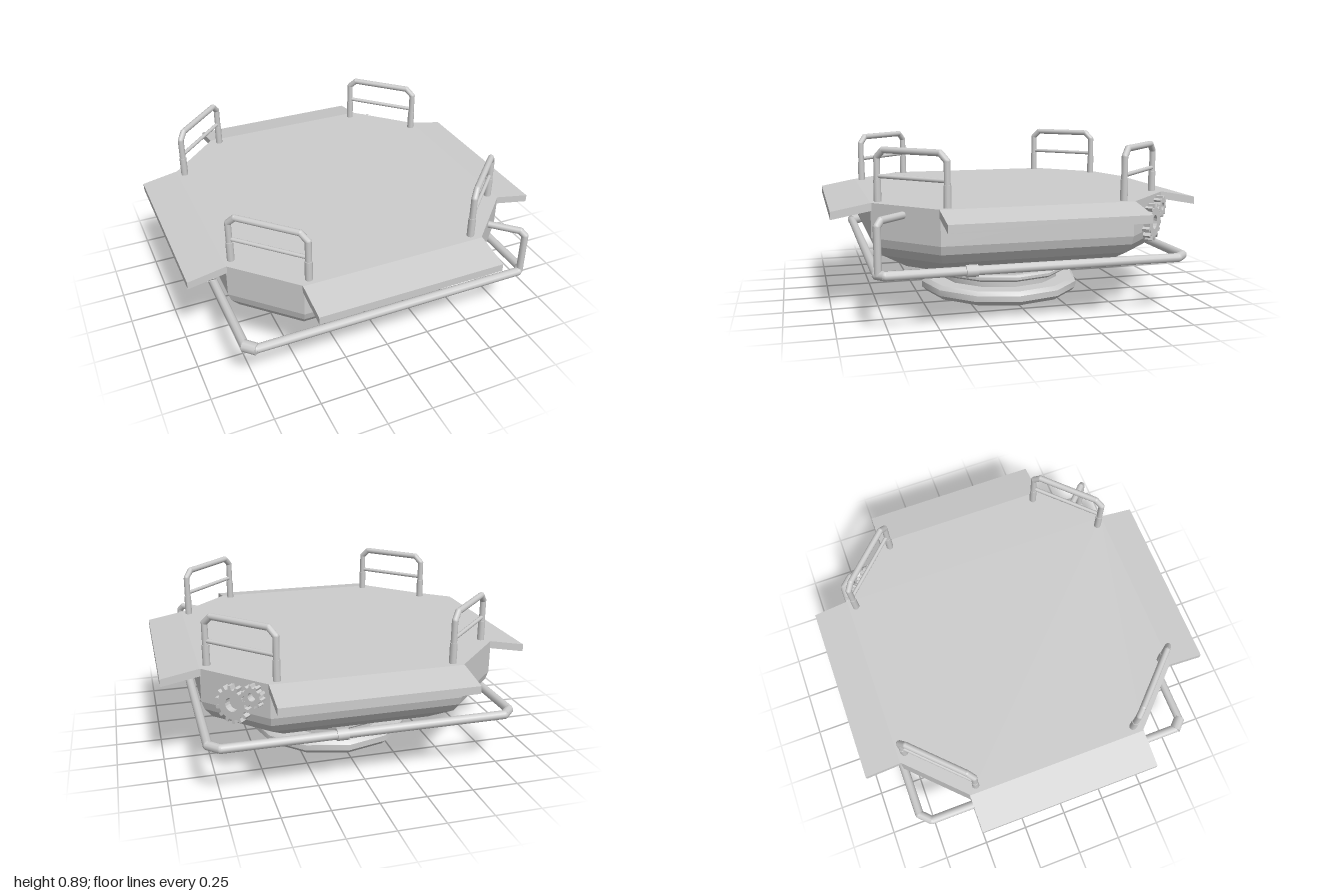
import * as THREE from 'three';
import { toCreasedNormals } from 'three/addons/utils/BufferGeometryUtils.js';

const V = (x, y, z) => new THREE.Vector3(x, y, z);

export function createModel() {
  const model = new THREE.Group();
  const grey = new THREE.MeshStandardMaterial({ color: 0xcccccc });
  grey.name = 'plain grey';

  function add(name, geometry, parent = model) {
    const mesh = new THREE.Mesh(geometry, grey);
    mesh.name = name;
    parent.add(mesh);
    return mesh;
  }
  function group(name, parent = model) {
    const g = new THREE.Group();
    g.name = name;
    parent.add(g);
    return g;
  }

  // Straight round bar between two points
  function bar(name, a, b, r, parent) {
    const mesh = add(name, new THREE.CylinderGeometry(r, r, a.distanceTo(b), 10), parent);
    mesh.position.copy(a).lerp(b, 0.5);
    mesh.quaternion.setFromUnitVectors(V(0, 1, 0), b.clone().sub(a).normalize());
    return mesh;
  }
  // Bent pipe: bars with ball joints at the bends
  function pipe(name, points, r, parent, closed = false) {
    const g = group(name, parent);
    const n = points.length;
    points.forEach((p, i) => {
      if (closed || i < n - 1) bar('pipeSection', p, points[(i + 1) % n], r, g);
      if (closed || (i > 0 && i < n - 1)) {
        add('pipeBend', new THREE.SphereGeometry(r, 10, 8), g).position.copy(p);
      }
    });
    return g;
  }

  // Hull: eight-sided sections [half size, half length of long side, y], top to bottom
  const sections = [
    [0.8, 0.5, 0.61], [0.8, 0.5, 0.43], [0.785, 0.497, 0.385],
    [0.745, 0.485, 0.335], [0.61, 0.4, 0.25], [0.36, 0.24, 0.2],
  ];
  const rings = sections.map(([a, h, y]) => [
    [h, a], [a, h], [a, -h], [h, -a], [-h, -a], [-a, -h], [-a, h], [-h, a],
  ].map(([x, z]) => [x, y, z]));
  const corners = [];
  const tri = (a, b, c) => corners.push(...a, ...b, ...c);
  for (let s = 0; s < rings.length - 1; s++) {
    const up = rings[s], low = rings[s + 1];
    for (let i = 0; i < 8; i++) {
      const j = (i + 1) % 8;
      tri(low[i], low[j], up[j]);
      tri(low[i], up[j], up[i]);
    }
  }
  const top = rings[0], bottom = rings[rings.length - 1];
  for (let i = 1; i < 7; i++) {
    tri(top[0], top[i], top[i + 1]);
    tri(bottom[0], bottom[i + 1], bottom[i]);
  }
  const hull = new THREE.BufferGeometry();
  hull.setAttribute('position', new THREE.Float32BufferAttribute(corners, 3));
  hull.computeVertexNormals();
  add('hull', hull);

  // Sloping flaps on the four long sides
  const flapShape = new THREE.Shape([
    [0.79, 0.61], [0.8, 0.61], [1.0, 0.573], [1.0, 0.532], [0.8, 0.569], [0.79, 0.569],
  ].map(([x, y]) => new THREE.Vector2(x, y)));
  const flapGeometry = new THREE.ExtrudeGeometry(flapShape, { depth: 1.01, bevelEnabled: false });
  flapGeometry.translate(0, 0, -0.505);
  for (let i = 0; i < 4; i++) add('flap', flapGeometry).rotation.y = i * Math.PI / 2;

  // Hollow pedestal with stepped collars
  const profile = [
    [0, 0.1], [0.2, 0.1], [0.28, 0], [0.44, 0], [0.465, 0.025], [0.465, 0.058],
    [0.445, 0.08], [0.35, 0.08], [0.35, 0.12], [0.39, 0.12], [0.402, 0.131],
    [0.402, 0.146], [0.39, 0.157], [0.367, 0.157], [0.367, 0.215],
  ].map(([r, y]) => new THREE.Vector2(r, y));
  add('pedestal', toCreasedNormals(new THREE.LatheGeometry(profile, 12), 0.6));

  // Handrails along the four cut corners
  for (let i = 0; i < 4; i++) {
    const rail = group('handrail');
    rail.rotation.y = Math.PI / 4 + i * Math.PI / 2;
    const d = 0.86, w = 0.213;
    pipe('railFrame', [
      V(-w, 0.6, d), V(-w, 0.835, d), V(-w + 0.04, 0.873, d),
      V(w - 0.04, 0.873, d), V(w, 0.835, d), V(w, 0.6, d),
    ], 0.017, rail);
    bar('railCrossbar', V(-w, 0.74, d), V(w, 0.74, d), 0.011, rail);
    for (const x of [-w, w]) bar('railSocket', V(x, 0.6, d), V(x, 0.72, d), 0.02, rail);
  }

  // Square pipe loop around the hull
  const R = 0.805, Y = 0.305;
  const loop = [];
  for (const [sx, sz, c] of [[1, 1, 0.035], [1, -1, 0.055], [-1, -1, 0.055], [-1, 1, 0.045]]) {
    const alongX = V(sx * (R - c), Y, sz * R), alongZ = V(sx * R, Y, sz * (R - c));
    loop.push(...(sx === sz ? [alongX, alongZ] : [alongZ, alongX]));
  }
  pipe('pipeLoop', loop, 0.024, model, true);

  // Pipe couplings
  bar('coupling', V(R, Y, 0.32), V(R, Y, 0.38), 0.031);
  bar('coupling', V(0.11, Y, -R), V(0.17, Y, -R), 0.031);
  bar('coupling', V(-0.81, Y, 0.757), V(-0.757, Y, 0.81), 0.031);

  // Riser pipe from the front left corner into the hull
  pipe('riserPipe', [
    V(0.785, Y, 0.8), V(0.785, 0.54, 0.8), V(0.765, 0.565, 0.78), V(0.63, 0.565, 0.645),
  ], 0.019);

  // Toothed wheels
  function gear(name, radius, teeth, hole, parent) {
    const points = [];
    for (let t = 0; t < teeth; t++) {
      for (const [f, r] of [[0, 0.79], [0.45, 0.79], [0.55, 1], [0.9, 1]]) {
        const a = (t + f) / teeth * Math.PI * 2;
        points.push(new THREE.Vector2(Math.cos(a) * r * radius, Math.sin(a) * r * radius));
      }
    }
    const shape = new THREE.Shape(points);
    shape.holes.push(new THREE.Path().absarc(0, 0, hole, 0, Math.PI * 2, true));
    return add(name, new THREE.ExtrudeGeometry(shape, {
      depth: 0.04, bevelEnabled: false, curveSegments: 8,
    }), parent);
  }
  const cornerGears = group('cornerGears');
  cornerGears.position.set(0.648, 0, -0.648);
  cornerGears.rotation.y = 3 * Math.PI / 4;
  gear('largeGear', 0.1, 14, 0.037, cornerGears).position.set(0.005, 0.473, 0);
  gear('smallGear', 0.06, 10, 0.022, cornerGears).position.set(0.128, 0.54, 0);

  const sideGear = gear('sideGear', 0.1, 14, 0.037, model);
  sideGear.position.set(-0.81, 0.445, 0.22);
  sideGear.rotation.y = -Math.PI / 2;

  return model;
}
